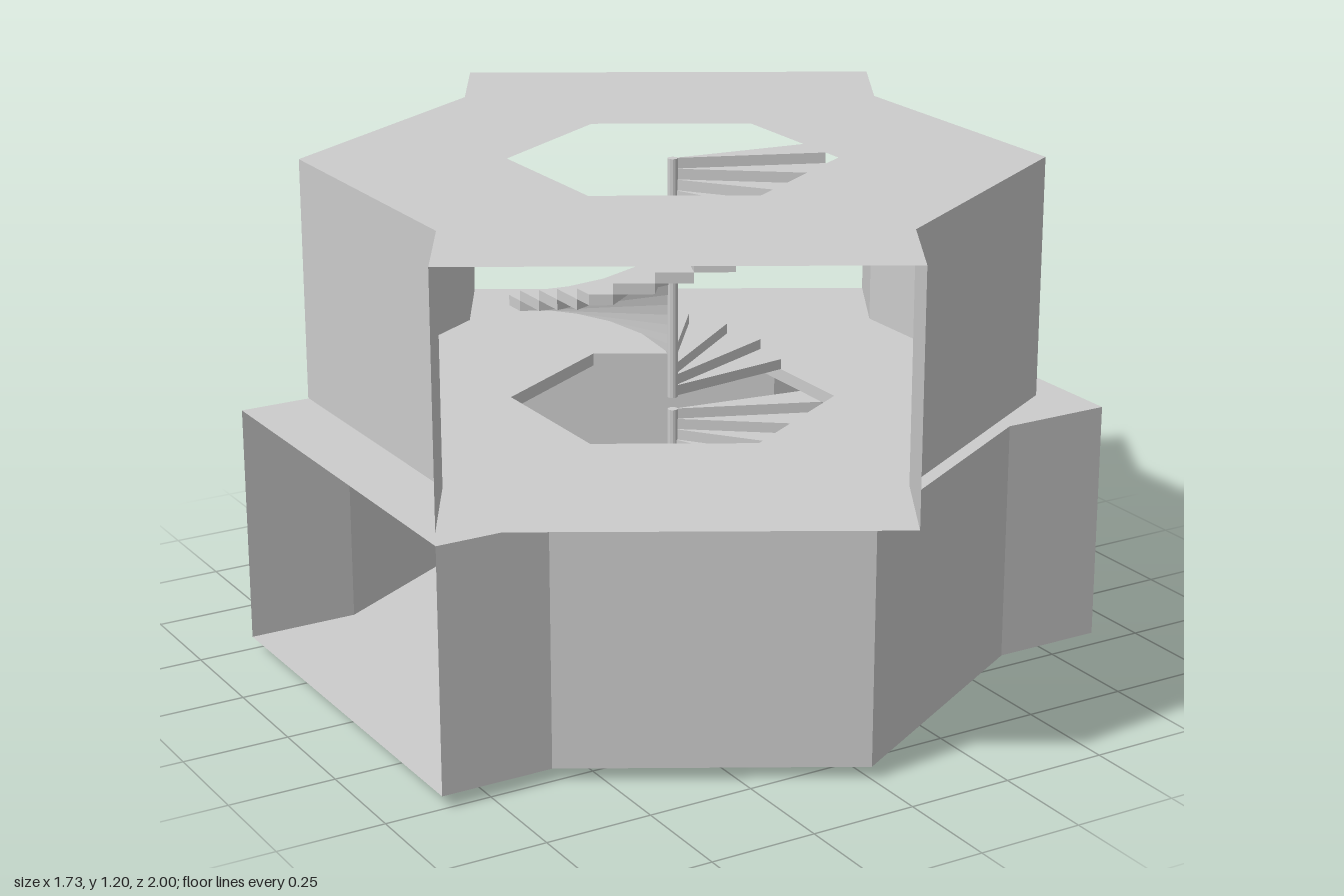
import * as THREE from 'three';

const SHEET = new THREE.MeshStandardMaterial({ color: 0xcccccc, side: THREE.DoubleSide, flatShading: true });
const SOLID = new THREE.MeshStandardMaterial({ color: 0xcccccc, flatShading: true });
const APOTHEM = 0.325;              // stairwell hexagon, corners on the z axis
const FLOOR = 0.03, CEILING = 0.6, STOREY = 0.6;
const STEPS = 23, RISE = (CEILING - FLOOR) / STEPS;
const rad = THREE.MathUtils.degToRad;

function add(parent, name, geometry, material) {
  const mesh = new THREE.Mesh(geometry, material);
  mesh.name = name;
  parent.add(mesh);
  return mesh;
}

// Point on the stairwell hexagon at an angle (degrees, plan is x/z)
function wellPoint(deg) {
  const off = ((deg % 60) + 60) % 60;
  const r = APOTHEM / Math.cos(rad(Math.min(off, 60 - off)));
  return new THREE.Vector2(r * Math.cos(rad(deg)), r * Math.sin(rad(deg)));
}
const wellCorners = () => [30, 90, 150, 210, 270, 330].map(wellPoint);

// One vertical wall panel between two plan points
function panel(parent, name, a, b, y0, y1) {
  const wall = add(parent, name, new THREE.PlaneGeometry(a.distanceTo(b), y1 - y0), SHEET);
  wall.position.set((a.x + b.x) / 2, (y0 + y1) / 2, (a.y + b.y) / 2);
  wall.rotation.y = -Math.atan2(b.y - a.y, b.x - a.x);
}

// Half of the plan outline; the other half is its half-turn
const HALF = [[0.866, 0.5], [0.6, 0.5], [0, 0.845], [-0.6, 0.5], [-0.866, 0.5]];

function createRoom(turn) {
  const room = new THREE.Group();
  const half = HALF.map(([x, z]) => new THREE.Vector2(x, z).rotateAround(new THREE.Vector2(), turn));
  const halves = [half, half.map(p => p.clone().negate())];

  // Floor and ceiling sheets with the stairwell opening
  const shape = new THREE.Shape(halves.flat());
  shape.holes.push(new THREE.Path(wellCorners()));
  for (const [name, y] of [['floor', FLOOR], ['ceiling', CEILING]]) {
    add(room, name, new THREE.ShapeGeometry(shape).rotateX(Math.PI / 2), SHEET).position.y = y;
  }

  // Folded walls; the two long sides between them stay open
  for (const pts of halves) {
    for (let i = 0; i < pts.length - 1; i++) panel(room, 'wall', pts[i], pts[i + 1], FLOOR, CEILING);
  }
  return room;
}

function createStair() {
  const stair = new THREE.Group();
  stair.name = 'spiralStair';
  // Wedge steps trimmed to the hexagonal stairwell
  for (let k = 0; k < STEPS; k++) {
    const angle = -15 * (k + 1);
    const wedge = new THREE.Shape([
      new THREE.Vector2(0, 0), wellPoint(angle - 7.5), wellPoint(angle), wellPoint(angle + 7.5),
    ]);
    const geometry = new THREE.ExtrudeGeometry(wedge, { depth: RISE, bevelEnabled: false }).rotateX(Math.PI / 2);
    add(stair, 'step', geometry, SOLID).position.y = FLOOR + RISE * (k + 1);
  }
  // Central pole
  const pole = new THREE.CylinderGeometry(0.012, 0.012, CEILING - FLOOR, 12);
  add(stair, 'centralPole', pole, SOLID).position.y = (FLOOR + CEILING) / 2;
  return stair;
}

export function createModel() {
  const model = new THREE.Group();
  model.name = 'hexagonalTower';
  for (const [name, level, turn] of [['lowerStorey', 0, 0], ['upperStorey', 1, -Math.PI / 3]]) {
    const storey = new THREE.Group();
    storey.name = name;
    storey.position.y = level * STOREY;
    const room = createRoom(turn);
    room.name = 'room';
    storey.add(room, createStair());
    // Short collar around the stairwell under the floor
    const c = wellCorners();
    c.forEach((p, i) => panel(storey, 'stairwellCollar', p, c[(i + 1) % 6], 0, FLOOR));
    model.add(storey);
  }
  return model;
}
